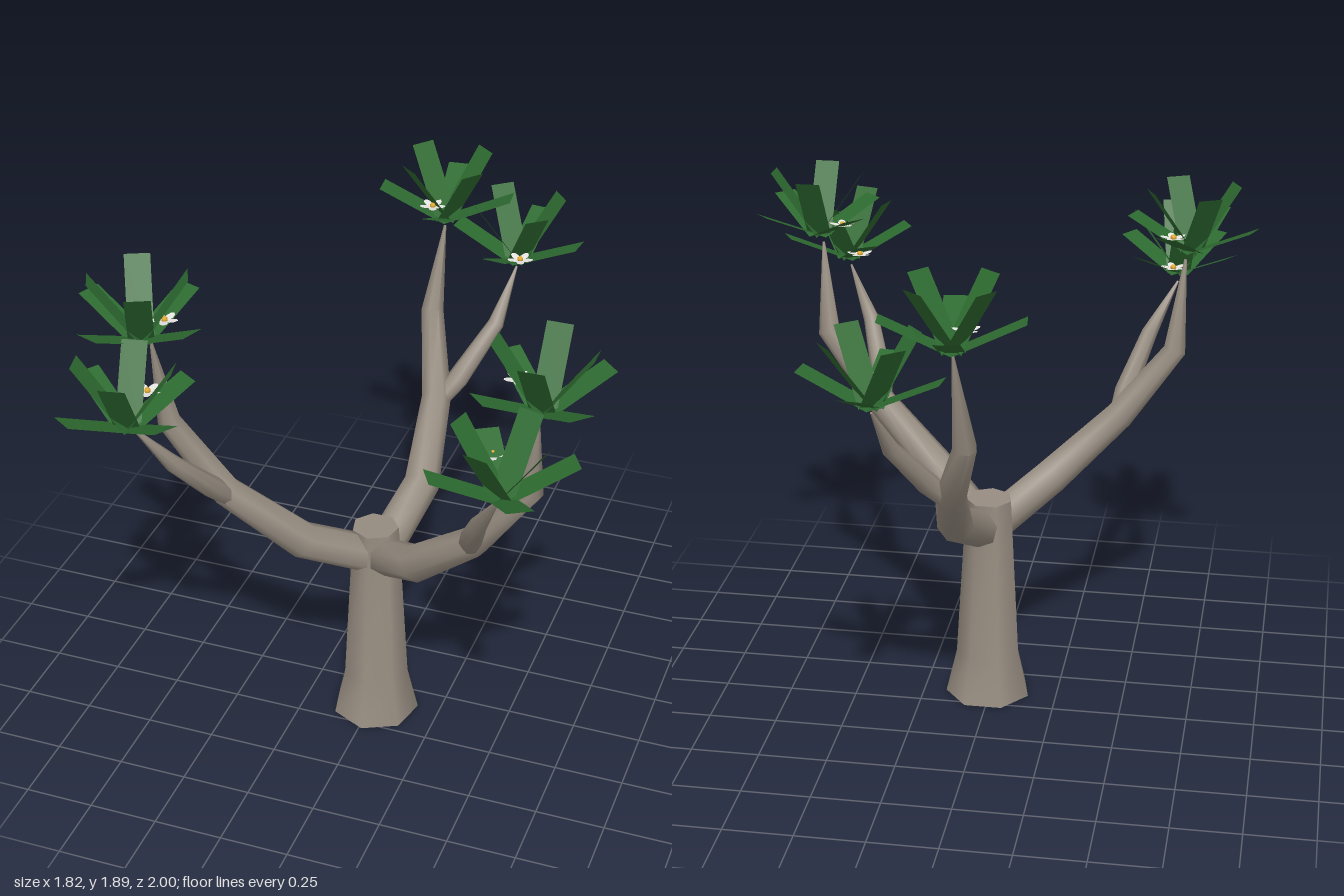
import * as THREE from 'three';
import { toCreasedNormals } from 'three/addons/utils/BufferGeometryUtils.js';

const V = (x, y, z) => new THREE.Vector3(x, y, z);

// Tapered seven-sided limb through points, with a radius at each one
function limb(points, radii, sides = 7) {
  const pos = [], index = [], n = points.length;
  points.forEach((p, i) => {
    const t = points[Math.min(i + 1, n - 1)].clone().sub(points[Math.max(i - 1, 0)]).normalize();
    const u = V(0, 0, 1).addScaledVector(t, -t.z).normalize();
    const v = t.clone().cross(u);
    for (let k = 0; k < sides; k++) {
      const a = (k / sides) * Math.PI * 2;
      const q = p.clone().addScaledVector(u, radii[i] * Math.cos(a)).addScaledVector(v, radii[i] * Math.sin(a));
      pos.push(q.x, q.y, q.z);
    }
  });
  for (let i = 0; i < n - 1; i++) {
    for (let k = 0; k < sides; k++) {
      const a = i * sides + k, b = i * sides + (k + 1) % sides;
      index.push(a, b, b + sides, a, b + sides, a + sides);
    }
  }
  // end caps
  const top = (n - 1) * sides;
  for (let k = 1; k < sides - 1; k++) index.push(0, k + 1, k, top, top + k, top + k + 1);
  const geo = new THREE.BufferGeometry();
  geo.setAttribute('position', new THREE.Float32BufferAttribute(pos, 3));
  geo.setIndex(index);
  return toCreasedNormals(geo, 1.0);
}

export function createModel() {
  const bark = new THREE.MeshStandardMaterial({ color: 0x968c80 });
  const leafGreen = new THREE.MeshStandardMaterial({ color: 0x2d6a30, side: THREE.DoubleSide });
  const petalWhite = new THREE.MeshStandardMaterial({ color: 0xe8e6e2, side: THREE.DoubleSide });
  const flowerYellow = new THREE.MeshStandardMaterial({ color: 0xe0a82a });

  const tree = new THREE.Group();
  tree.name = 'tree';
  const add = (parent, geo, mat, name) => {
    const m = new THREE.Mesh(geo, mat);
    m.name = name;
    parent.add(m);
    return m;
  };

  // Trunk with flared foot
  add(tree, limb([V(0.01, 0, 0.12), V(0.01, 0.17, 0.12), V(0.005, 0.8, 0.105)], [0.16, 0.12, 0.085]), bark, 'trunk');

  // Three forked branches around the trunk, one of them mirrored
  const main = [[0.01, 0.69, -0.03], [0.065, 0.82, -0.28], [0.035, 1.04, -0.54], [-0.045, 1.3, -0.72], [-0.015, 1.63, -0.765]];
  const fork = [[0.03, 1.0, -0.52], [0.1, 1.1, -0.59], [0.2, 1.28, -0.73], [0.235, 1.46, -0.86]];
  for (const [angle, mirror] of [[0, 1], [-120, 1], [120, -1]]) {
    const place = ([x, y, z]) =>
      V(x * mirror, y, z).applyAxisAngle(V(0, 1, 0), THREE.MathUtils.degToRad(angle)).add(V(0.015, 0, 0.1));
    const branch = new THREE.Group();
    branch.name = 'branch';
    add(branch, limb(main.map(place), [0.07, 0.068, 0.055, 0.042, 0.005]), bark, 'mainBranch');
    add(branch, limb(fork.map(place), [0.03, 0.04, 0.03, 0.004]), bark, 'sideBranch');
    tree.add(branch);
  }

  // A flat leaf rising from the origin along +x
  const leaf = (reach, rise) => {
    const g = new THREE.PlaneGeometry(Math.hypot(reach, rise), 0.088);
    g.translate(Math.hypot(reach, rise) / 2, 0, 0);
    return g.rotateX(-Math.PI / 2).rotateZ(Math.atan2(rise, reach));
  };
  const outerLeaf = leaf(0.24, 0.112);
  const innerLeaf = leaf(0.165, 0.238);

  // Flower petal: a small pointed oval, slightly raised
  const petal = new THREE.CircleGeometry(0.024, 8);
  petal.scale(1, 0.6, 1).translate(0.026, 0, 0).rotateX(-Math.PI / 2).rotateZ(0.2);
  const heart = new THREE.SphereGeometry(0.011, 8, 6);

  // Leaf tufts: position, yaw in degrees, flower position
  const tufts = [
    [[0, 1.65, -0.68], -6, [-0.04, 1.71, -0.64]],
    [[0.25, 1.48, -0.765], 6, [0.29, 1.54, -0.66]],
    [[0.705, 1.65, 0.49], 45, [0.6, 1.71, 0.42]],
    [[0.655, 1.48, 0.755], 60, [0.58, 1.54, 0.61]],
    [[-0.675, 1.65, 0.5], 20, [-0.61, 1.71, 0.45]],
    [[-0.61, 1.48, 0.77], 33, [-0.6, 1.54, 0.63]],
  ];
  for (const [at, yaw, bloom] of tufts) {
    const tuft = new THREE.Group();
    tuft.name = 'leafTuft';
    tuft.position.set(...at);
    tuft.rotation.y = -THREE.MathUtils.degToRad(yaw);
    for (let i = 0; i < 8; i++) {
      const m = add(tuft, i % 2 ? innerLeaf : outerLeaf, leafGreen, i % 2 ? 'innerLeaf' : 'outerLeaf');
      m.rotation.y = (i * Math.PI) / 4;
    }
    tree.add(tuft);

    const flower = new THREE.Group();
    flower.name = 'flower';
    flower.position.set(...bloom);
    for (let i = 0; i < 5; i++) {
      add(flower, petal, petalWhite, 'petal').rotation.y = (i * Math.PI * 2) / 5;
    }
    add(flower, heart, flowerYellow, 'flowerCentre').position.y = 0.006;
    tree.add(flower);
  }
  return tree;
}
